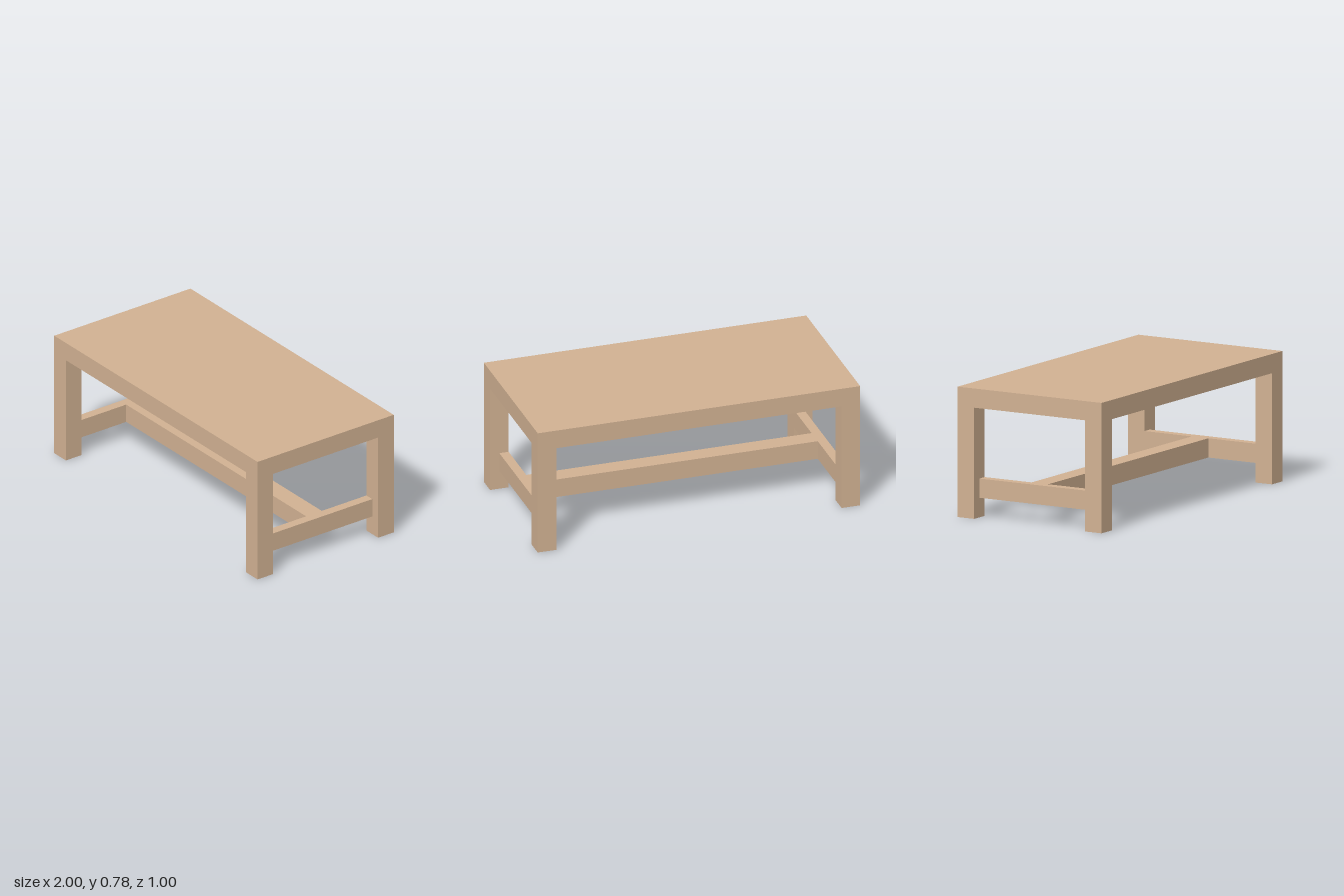
import * as THREE from 'three';

export function createModel() {
  const table = new THREE.Group();
  table.name = 'table';
  const wood = new THREE.MeshStandardMaterial({ color: 0xd2b293 });

  const length = 2, depth = 1, height = 0.78;
  const beam = 0.115;                 // thickness of top, legs and stretchers
  const innerX = length / 2 - beam;   // inner faces of the legs
  const stretcherY = 0.175;

  function addBox(name, size, position) {
    const mesh = new THREE.Mesh(new THREE.BoxGeometry(...size), wood);
    mesh.name = name;
    mesh.position.set(...position);
    table.add(mesh);
  }

  // Solid slab top
  addBox('tableTop', [length, beam, depth], [0, height - beam / 2, 0]);

  for (const [side, sx] of [['Left', 1], ['Right', -1]]) {
    // Legs flush with the corners of the top
    const legHeight = height - beam;
    for (const [end, sz] of [['front', 1], ['back', -1]]) {
      addBox(`${end}${side}Leg`, [beam, legHeight, beam],
        [sx * (length - beam) / 2, legHeight / 2, sz * (depth - beam) / 2]);
    }
    // Half-width end stretcher, flush with the inner faces of the legs
    addBox(`end${side}Stretcher`, [beam / 2, beam, depth - 2 * beam],
      [sx * (innerX + beam / 4), stretcherY, 0]);
  }

  // Long stretcher joining the two ends
  addBox('centreStretcher', [2 * innerX, beam, beam], [0, stretcherY, 0]);

  return table;
}
